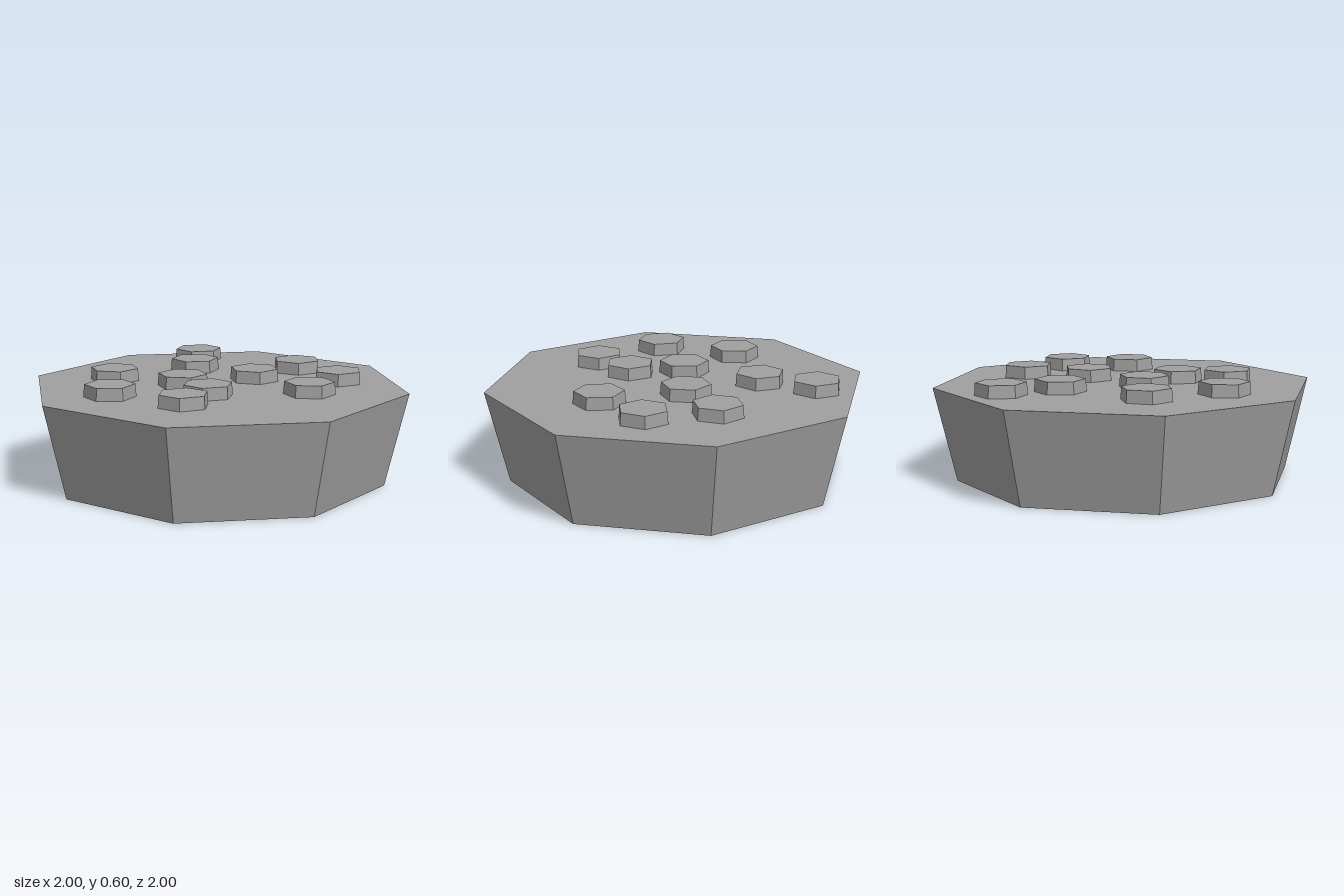
import * as THREE from 'three';

const BASE_HEIGHT = 0.53;
const STUD_HEIGHT = 0.07;

// Stud layout: x, z, turn in degrees
const STUDS = [
  [-0.235, -0.565, 6],
  [0.56, -0.56, -19],
  [0.28, -0.375, -15],
  [-0.607, -0.283, -10],
  [-0.14, -0.143, 3],
  [-0.56, 0.183, 30],
  [-0.28, 0.137, -25],
  [0.232, 0.09, 12],
  [0.607, 0.137, 22],
  [0.09, 0.556, -1],
  [0.466, 0.51, 28],
];

export function createModel() {
  const group = new THREE.Group();
  group.name = 'studdedBlock';
  const grey = new THREE.MeshStandardMaterial({ color: 0xa0a0a0, flatShading: true });
  grey.name = 'stone grey';

  // Octagonal block, flaring upward, with flat sides on the axes
  const toCorner = 1 / Math.cos(Math.PI / 8);
  const base = new THREE.Mesh(
    new THREE.CylinderGeometry(toCorner, 0.885 * toCorner, BASE_HEIGHT, 8, 1, false, Math.PI / 8),
    grey
  );
  base.name = 'base';
  base.position.y = BASE_HEIGHT / 2;
  group.add(base);

  // Hexagonal studs scattered over the top, slightly tapered
  const studGeometry = new THREE.CylinderGeometry(0.139, 0.144, STUD_HEIGHT, 6, 1, false, Math.PI / 2);
  STUDS.forEach(([x, z, turn], i) => {
    const stud = new THREE.Mesh(studGeometry, grey);
    stud.name = `stud${i + 1}`;
    stud.position.set(x, BASE_HEIGHT + STUD_HEIGHT / 2, z);
    stud.rotation.y = -THREE.MathUtils.degToRad(turn);
    group.add(stud);
  });

  return group;
}
